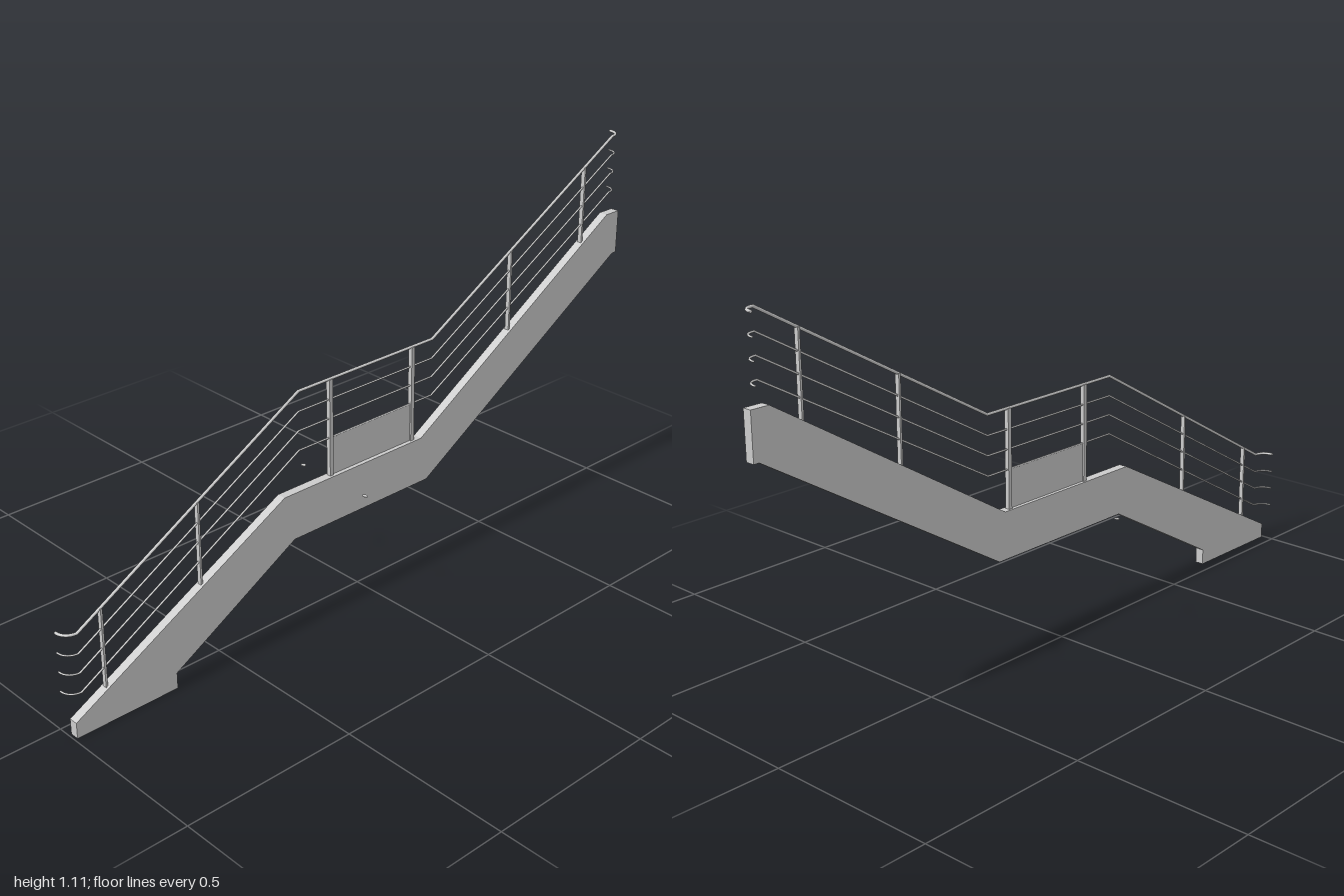
import * as THREE from 'three';

const mat = new THREE.MeshStandardMaterial({ color: 0xcccccc });
const RAIL_X = 0.047;

function add(parent, name, geo, x = 0, y = 0, z = 0) {
  const mesh = new THREE.Mesh(geo, mat);
  mesh.name = name;
  mesh.position.set(x, y, z);
  parent.add(mesh);
  return mesh;
}

// Round bar swept along a polyline, with mitred joints and closed ends
function sweep(points, radius, sides = 10) {
  const pos = [], idx = [], up = new THREE.Vector3(0, 1, 0), last = points.length - 1;
  points.forEach((p, i) => {
    const a = points[Math.max(i - 1, 0)], b = points[Math.min(i + 1, last)];
    const tIn = (i > 0 ? p.clone().sub(a) : b.clone().sub(p)).normalize();
    const tOut = (i < last ? b.clone().sub(p) : p.clone().sub(a)).normalize();
    const t = tIn.clone().add(tOut).normalize();
    const side = up.clone().cross(t).normalize();
    const n = t.clone().cross(side);
    const miter = 1 / t.dot(tIn);
    for (let k = 0; k < sides; k++) {
      const ang = (k / sides) * Math.PI * 2;
      const v = p.clone().addScaledVector(side, radius * Math.cos(ang))
        .addScaledVector(n, radius * miter * Math.sin(ang));
      pos.push(v.x, v.y, v.z);
      if (i < last) {
        const c = i * sides + k, d = i * sides + (k + 1) % sides;
        idx.push(c, d, c + sides, d, d + sides, c + sides);
      }
    }
  });
  for (let k = 1; k < sides - 1; k++) {
    const e = last * sides;
    idx.push(0, k + 1, k, e, e + k, e + k + 1);
  }
  const geo = new THREE.BufferGeometry();
  geo.setAttribute('position', new THREE.Float32BufferAttribute(pos, 3));
  geo.setIndex(idx);
  geo.computeVertexNormals();
  return geo;
}

// Rail line: hooked end, lower flight, landing, upper flight, hooked end
function railPath(drop) {
  const R = 0.035, zEnd = 0.961, pts = [];
  const hook = (s, y) => {
    const arc = [new THREE.Vector3(0.009, y, s * (zEnd + R))];
    for (let i = 0; i <= 8; i++) {
      const a = (i / 8) * Math.PI / 2;
      arc.push(new THREE.Vector3(RAIL_X - R + R * Math.sin(a), y, s * (zEnd + R * Math.cos(a))));
    }
    return arc;
  };
  pts.push(...hook(1, 0.282 - drop));
  pts.push(new THREE.Vector3(RAIL_X, 0.688 - drop, 0.25));
  pts.push(new THREE.Vector3(RAIL_X, 0.688 - drop, -0.234));
  pts.push(...hook(-1, 1.104 - drop).reverse());
  return pts;
}

// Height of a line given as [z, y] points running from front to back
function heightAt(line, z) {
  for (let i = 0; i < line.length - 1; i++) {
    const [z0, y0] = line[i], [z1, y1] = line[i + 1];
    if (z <= z0 && z >= z1) return y0 + (y1 - y0) * (z0 - z) / (z0 - z1);
  }
  return 0;
}

export function createModel() {
  const model = new THREE.Group();
  model.name = 'stairSide';

  // Stringer: cranked plate with a level landing section
  const topEdge = [[0.992, 0.045], [0.314, 0.41], [-0.183, 0.41], [-0.94, 0.875], [-0.993, 0.875]];
  const bottomEdge = [[-0.993, 0.747], [-0.977, 0.747], [-0.207, 0.275], [0.282, 0.275],
    [0.684, 0.046], [0.684, 0], [0.992, 0]];
  const outline = [...topEdge, ...bottomEdge].map(([z, y]) => new THREE.Vector2(-z, y));
  const plate = new THREE.ExtrudeGeometry(new THREE.Shape(outline), { depth: 0.026, bevelEnabled: false });
  plate.rotateY(Math.PI / 2);
  add(model, 'stringer', plate, 0.035);

  // Handrail and three thinner rails below it
  const railing = new THREE.Group();
  railing.name = 'railing';
  model.add(railing);
  [0, 0.057, 0.112, 0.168].forEach((drop, i) => {
    add(railing, i ? 'lowerRail' : 'handrail', sweep(railPath(drop), i ? 0.0026 : 0.004));
  });

  // Posts from stringer to handrail, stouter beside the landing
  const railLine = [[0.961, 0.282], [0.25, 0.688], [-0.234, 0.688], [-0.961, 1.104]];
  [0.891, 0.587, 0.142, -0.157, -0.539, -0.841].forEach((z) => {
    const y0 = heightAt(topEdge, z) - 0.004, y1 = heightAt(railLine, z);
    const depth = Math.abs(z) < 0.2 ? 0.012 : 0.006;
    add(railing, 'post', new THREE.BoxGeometry(0.013, y1 - y0, depth), RAIL_X, (y0 + y1) / 2, z);
  });

  // Infill panel between the landing posts
  add(railing, 'landingPanel', new THREE.BoxGeometry(0.004, 0.112, 0.299), RAIL_X, 0.465, -0.0075);

  // Small flat discs beside the landing
  for (const s of [-1, 1]) {
    const disc = add(model, 'disc', new THREE.CylinderGeometry(0.0085, 0.0085, 0.002, 16), s * 0.122, 0.355, 0.087);
    disc.scale.z = 0.7;
  }
  return model;
}
